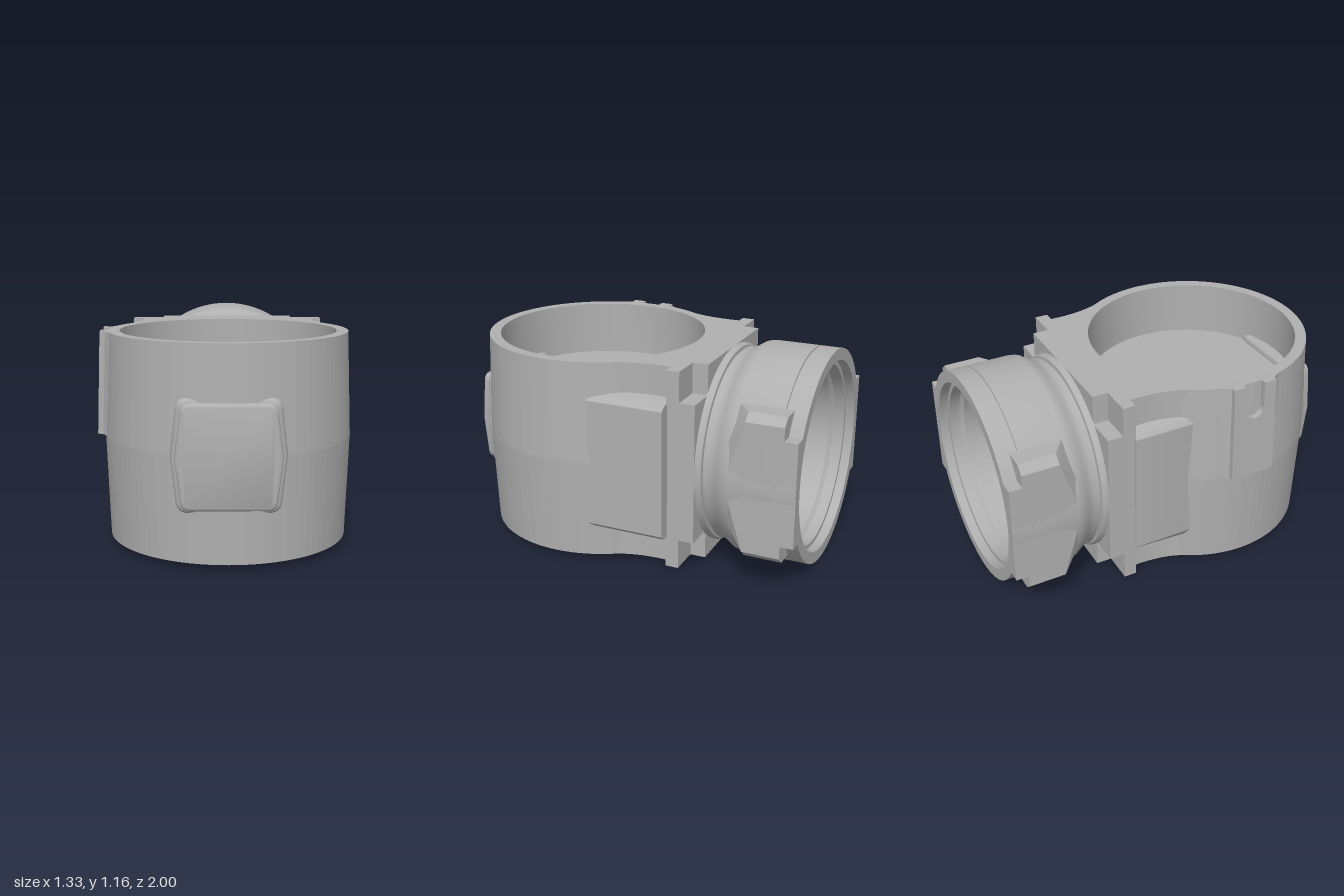
import * as THREE from 'three';
import { toCreasedNormals } from 'three/addons/utils/BufferGeometryUtils.js';
import { ConvexGeometry } from 'three/addons/geometries/ConvexGeometry.js';

const AXIS_Y = 0.58;  // height of the rear pipe axis
const CUP_Z = 0.33;   // centre of the upright cylinder
const Y0 = 0.04, Y1 = 1.125;

export function createModel() {
  const root = new THREE.Group();
  root.name = 'pipeElbowHousing';
  const model = new THREE.Group();
  model.name = 'housing';
  model.position.x = 0.015;
  root.add(model);
  const gray = new THREE.MeshStandardMaterial({ color: 0xb0b0b0 });
  gray.name = 'gray';

  const add = (name, geo, crease = 0.5) => {
    const mesh = new THREE.Mesh(toCreasedNormals(geo, crease), gray);
    mesh.name = name;
    model.add(mesh);
    return mesh;
  };
  const lathe = (pts, seg = 72, start = 0, len = Math.PI * 2) =>
    new THREE.LatheGeometry(pts.map(p => new THREE.Vector2(...p)), seg, start, len);
  const polygon = pts => new THREE.Shape(pts.map(p => new THREE.Vector2(...p)));
  const hull = pts => new ConvexGeometry(pts.map(p => new THREE.Vector3(...p)));
  const circleHole = (shape, x, y, r) =>
    shape.holes.push(new THREE.Path().absarc(x, y, r, 0, Math.PI * 2, true));
  const extrude = (shape, depth, bevel = 0) => new THREE.ExtrudeGeometry(shape, {
    depth, curveSegments: 40, bevelEnabled: bevel > 0, bevelSize: bevel,
    bevelThickness: bevel, bevelOffset: -bevel, bevelSegments: 4,
  });

  // Upright cylinder wall, slightly barrelled, left open towards the pipe
  add('cylinderWall', lathe([[0.63, Y0], [0.65, AXIS_Y], [0.63, Y1]], 72, -0.75 * Math.PI, 1.5 * Math.PI), 0.06)
    .position.z = CUP_Z;

  // Upper and lower bodies: round front flowing into the narrower neck, with a cup hole
  const outline = () => {
    const a = Math.asin(CUP_Z / 0.63), x = 0.63 * Math.cos(a);
    const s = new THREE.Shape();
    s.moveTo(-0.485, 0.32);
    s.lineTo(-0.485, 0.25);
    s.quadraticCurveTo(-0.487, 0.1, -x, 0);
    s.absarc(0, -CUP_Z, 0.63, Math.PI - a, Math.PI * 2 + a, false);
    s.quadraticCurveTo(0.487, 0.1, 0.485, 0.25);
    s.lineTo(0.485, 0.32);
    circleHole(s, 0, -CUP_Z, 0.57);
    return s;
  };
  const floors = [['upper', 0.825, Y1, 0.825], ['lower', Y0, 0.22, 0.22]];
  for (const [level, from, to, floorY] of floors) {
    add(level + 'Body', extrude(outline(), to - from).rotateX(-Math.PI / 2)).position.y = from;
    const floor = new THREE.CircleGeometry(0.572, 72);
    floor.rotateX(level === 'upper' ? -Math.PI / 2 : Math.PI / 2);
    add(level + 'CupFloor', floor).position.set(0, floorY, CUP_Z);
  }

  // Side cheeks, the left one standing further out
  for (const [name, side, outer, front] of [['leftCheek', 1, 0.61, 0.12], ['rightCheek', -1, 0.56, 0.02]]) {
    const pts = [];
    for (const v of [-1, 1]) {
      pts.push([side * outer, AXIS_Y + v * 0.345, -0.305], [side * outer, AXIS_Y + v * 0.345, front],
        [side * (outer - 0.02), AXIS_Y + v * 0.365, -0.305], [side * (outer - 0.02), AXIS_Y + v * 0.365, front],
        [side * 0.46, AXIS_Y + v * 0.385, -0.305], [side * 0.54, AXIS_Y + v * 0.385, 0.08]);
    }
    add(name, hull(pts), 0.4);
  }

  // Square rear flange: a full plate, then one with notched corners
  const H = (Y1 - Y0) / 2, W = 0.545;
  const full = polygon([[-W, -H], [W, -H], [W, H], [-W, H]]);
  const n = 0.375, m = 0.38;
  const notched = polygon([[-n, -H], [n, -H], [n, -m], [W, -m], [W, m], [n, m],
    [n, H], [-n, H], [-n, m], [-W, m], [-W, -m], [-n, -m]]);
  circleHole(full, 0, 0, 0.43);
  circleHole(notched, 0, 0, 0.43);
  add('flangePlate', extrude(full, 0.07)).position.set(0, Y0 + H, -0.37);
  add('notchedFlange', extrude(notched, 0.085)).position.set(0, Y0 + H, -0.455);

  // Rear pipe: stepped bore from the deep end out, then the outside back to the flange
  add('pipe', lathe([
    [0, -0.02], [0.15, -0.02], [0.15, -0.2], [0.24, -0.2], [0.25, -0.4], [0.41, -0.4],
    [0.41, -0.62], [0.47, -0.62], [0.47, -0.87], [0.49, -0.89], [0.49, -0.95], [0.515, -0.95], [0.515, -1],
    [0.578, -1], [0.578, -0.895], [0.567, -0.893], [0.567, -0.887], [0.578, -0.885],
    [0.578, -0.64], [0.572, -0.61], [0.55, -0.575], [0.535, -0.55], [0.53, -0.53], [0.53, -0.505],
    [0.515, -0.502], [0.515, -0.49], [0.535, -0.488], [0.545, -0.47], [0.545, -0.45],
  ], 80).rotateX(Math.PI / 2), 0.6).position.y = AXIS_Y;

  // Squared corners on both sides of the pipe, tapering in front and stepped at the end
  for (const sx of [-1, 1]) for (const sy of [-1, 1]) {
    const place = pts => hull(pts.map(([x, y, z]) => [sx * x, AXIS_Y + sy * y, z]));
    const corner = [[0.576, 0], [0.576, 0.35], [0.53, 0.39], [0.42, 0.39]];
    const pts = [];
    for (const z of [-0.93, -0.73]) for (const c of corner) pts.push([...c, z]);
    pts.push([0.57, 0, -0.62], [0.53, 0.2, -0.62], [0.41, 0.385, -0.64]);
    add('pipeCorner', place(pts), 0.2);
    const tip = [];
    for (const z of [-1, -0.92]) tip.push([0.576, 0, z], [0.576, 0.28, z], [0.5, 0.28, z]);
    add('pipeCornerTip', place(tip), 0.2);
  }

  // Front pad with bowed sides, sitting on a soft base
  const pad = (w, h, bow, r) => {
    const s = new THREE.Shape();
    s.moveTo(-w + r, -h);
    s.lineTo(w - r, -h);
    s.quadraticCurveTo(w, -h, w + 0.004, -h + r);
    s.lineTo(w + bow, 0);
    s.lineTo(w + 0.004, h - r);
    s.quadraticCurveTo(w, h, w - r, h);
    s.lineTo(-w + r, h);
    s.quadraticCurveTo(-w, h, -w - 0.004, h - r);
    s.lineTo(-w - bow, 0);
    s.lineTo(-w - 0.004, -h + r);
    s.quadraticCurveTo(-w, -h, -w + r, -h);
    return s;
  };
  add('frontPad', extrude(pad(0.232, 0.262, 0.03, 0.05), 0.1, 0.018), 0.7).position.set(0, AXIS_Y, 0.877);
  add('frontPadBase', extrude(pad(0.255, 0.285, 0.03, 0.06), 0.06, 0.03), 0.7).position.set(0, AXIS_Y, 0.865);

  // Side rib with a rounded slot open at the top
  const rib = new THREE.Shape();
  rib.moveTo(0.2, 0);
  rib.lineTo(0.45, 0);
  rib.lineTo(0.45, 0.54);
  rib.lineTo(0.38, 0.54);
  rib.lineTo(0.38, 0.4);
  rib.absarc(0.325, 0.4, 0.055, 0, Math.PI, true);
  rib.lineTo(0.27, 0.54);
  rib.lineTo(0.2, 0.54);
  const ribMesh = add('sideRib', extrude(rib, 0.1).rotateY(-Math.PI / 2));
  ribMesh.position.set(-0.582, 0.585, 0);
  ribMesh.rotation.z = -0.035;

  // Sloping fillets either side of the rib
  for (const [z, edge] of [[0.2, 0.14], [0.45, 0.51]]) {
    const pts = [];
    for (const [y, dx] of [[0.585, 0], [Y1, 0.02]]) {
      pts.push([-0.655 + dx, y, z], [-0.6, y, z], [-0.6, y, edge]);
    }
    add('ribFillet', hull(pts), 0.3);
  }
  return root;
}
